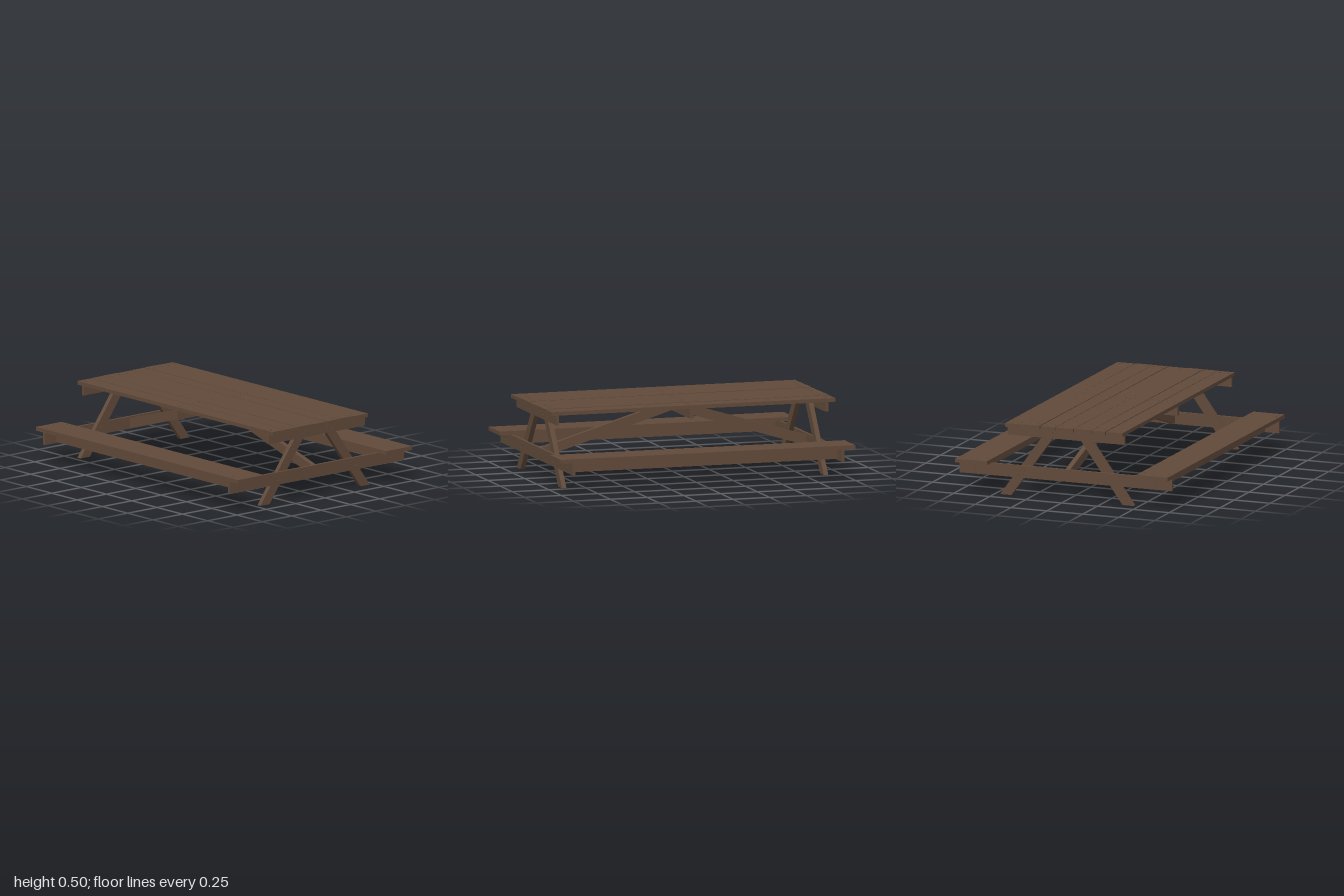
import * as THREE from 'three';

export function createModel() {
  const model = new THREE.Group();
  const wood = new THREE.MeshStandardMaterial({ color: 0x614a3a });

  const add = (name, geometry) => {
    const mesh = new THREE.Mesh(geometry, wood);
    mesh.name = name;
    model.add(mesh);
    return mesh;
  };

  // Board given by its limits on each axis
  const board = (name, x0, x1, y0, y1, z0, z1) => {
    const mesh = add(name, new THREE.BoxGeometry(x1 - x0, y1 - y0, z1 - z0));
    mesh.position.set((x0 + x1) / 2, (y0 + y1) / 2, (z0 + z1) / 2);
    return mesh;
  };

  // Four-cornered profile extruded from z = 0 to z = depth
  const slab = (name, points, depth) => {
    const shape = new THREE.Shape(points.map(([x, y]) => new THREE.Vector2(x, y)));
    return add(name, new THREE.ExtrudeGeometry(shape, { depth, bevelEnabled: false }));
  };

  // Low six-sided fasteners, upright in the boards or lying along z
  const screwGeometry = new THREE.CylinderGeometry(0.005, 0.006, 0.006, 6);
  const screw = (x, y, z) => add('screw', screwGeometry).position.set(x, y, z);
  const bolt = (x, y, z0, z1) => {
    const mesh = add('bolt', new THREE.CylinderGeometry(0.007, 0.007, z1 - z0, 8));
    mesh.rotation.x = Math.PI / 2;
    mesh.position.set(x, y, (z0 + z1) / 2);
  };

  // Table top: seven slightly uneven planks
  const edges = [-0.412, -0.296, -0.195, -0.073, 0.053, 0.16, 0.28, 0.406];
  const skew = [0.0015, -0.001, 0.002, -0.0015, 0.001, -0.002, 0.001];
  for (let i = 0; i < 7; i++) {
    const x0 = edges[i] + 0.002, x1 = edges[i + 1] - 0.002;
    const lift = (i % 3 - 1) * 0.001;
    const plank = board('tabletopPlank', x0, x1, 0.466 + lift, 0.49 + lift,
      -0.97 - i * 0.001, 0.957 - i * 0.001);
    plank.rotation.y = skew[i];
    for (const z of [-0.917, 0.005, 0.908])
      for (const t of [0.25, 0.75]) screw(x0 + (x1 - x0) * t, 0.491 + lift, z);
  }

  // Middle cleat under the table top
  board('middleCleat', -0.405, 0.405, 0.403, 0.466, -0.012, 0.012);

  // End frames: joint is the plane where legs meet the outer rails
  for (const [dir, joint] of [[1, 0.901], [-1, 0.908]]) {
    const span = (a, b) => [dir * (joint + a), dir * (joint + b)].sort((p, q) => p - q);
    board('endCleat', -0.41, 0.406, 0.403, 0.466, ...span(0, 0.019));
    board('seatCrossbar', -0.74, 0.74, 0.125, 0.205, ...span(0, 0.019));

    for (const side of [-1, 1]) {
      // Splayed leg, cut level at floor and table top
      const profile = [[0.387, 0], [0.465, 0], [0.128, 0.466], [0.05, 0.466]];
      const leg = slab('leg', profile.map(([x, y]) => [side * x, y]), 0.031);
      leg.position.z = span(-0.031, 0)[0];

      // Bolts through the frame joints
      for (const [x, y] of [[0.125, 0.428], [0.095, 0.445], [0.29, 0.18], [0.33, 0.146]])
        bolt(side * x, y, ...span(-0.038, 0.025));
      for (const y of [0.155, 0.183]) bolt(side * 0.63, y, ...span(0, 0.025));
    }

    // Diagonal brace from the middle cleat down to the crossbar
    const brace = slab('diagonalBrace',
      [[0, 0.403], [joint, 0.128], [joint, 0.195], [0, 0.466]], 0.034);
    brace.rotation.y = -dir * Math.PI / 2;
    brace.position.x = dir * 0.017;
  }

  // Benches with a lengthwise bearer under each
  for (const side of [-1, 1]) {
    board('benchSeat', side * 0.63 - 0.11, side * 0.63 + 0.11, 0.205, 0.23, -1, 1);
    board('benchBearer', side * 0.63 - 0.013, side * 0.63 + 0.013, 0.13, 0.205, -0.908, 0.901);
    for (const z of [-0.918, 0.911])
      for (const dx of [-0.085, 0.085]) screw(side * 0.63 + dx, 0.231, z);
  }

  return model;
}
